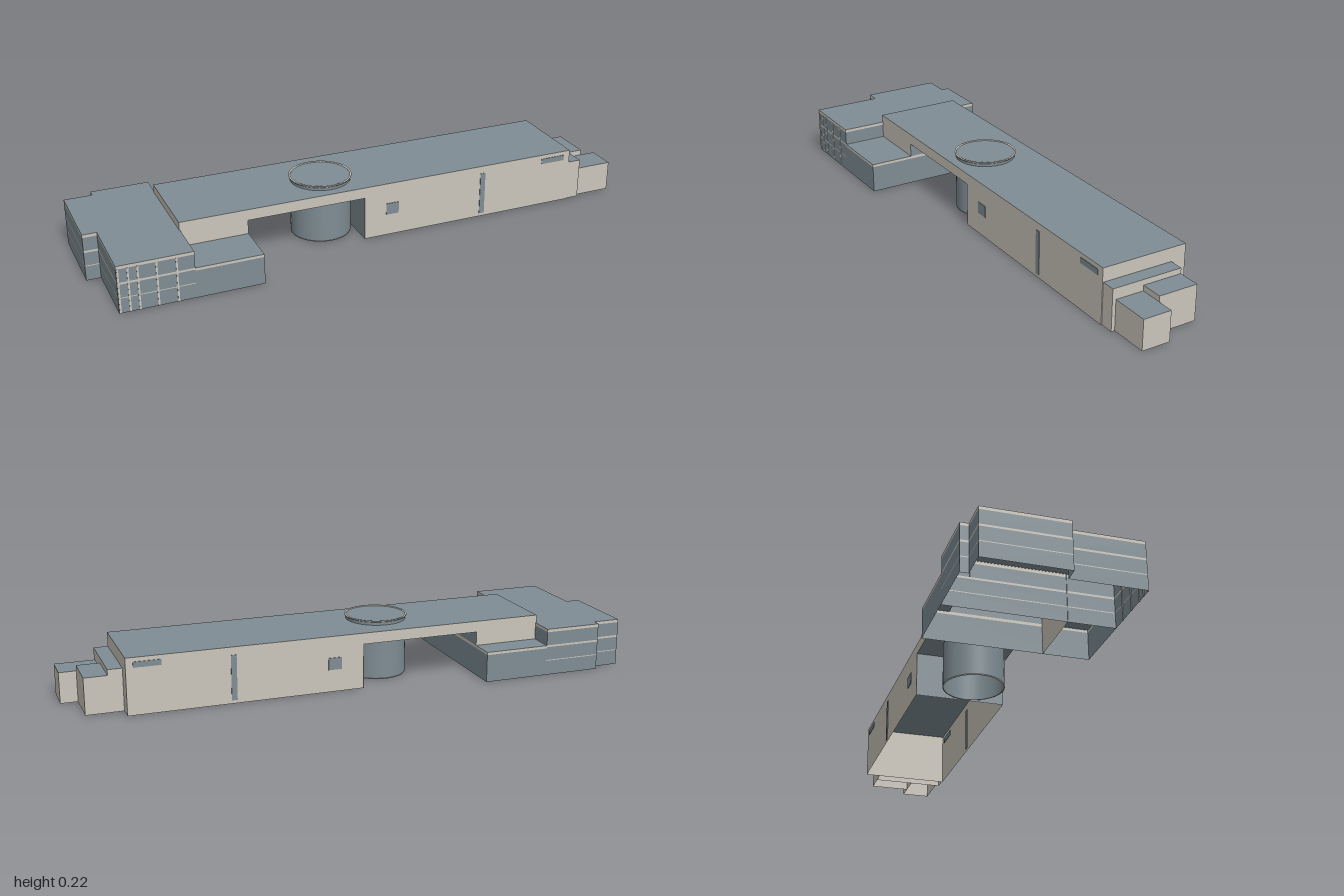
import * as THREE from 'three';

const DS = THREE.DoubleSide;
const stone = new THREE.MeshStandardMaterial({ color: 0xcac5bb, side: DS });
const slate = new THREE.MeshStandardMaterial({ color: 0x7f8d94, side: DS });
stone.name = 'pale stone';
slate.name = 'blue grey glass';

const rect = (x0, x1, z0, z1) => [[x0, z1], [x1, z1], [x1, z0], [x0, z0]];

// Vertical walls along a footprint [x, z], counter-clockwise seen from above
function walls(pts, y0, y1, closed = true) {
  const pos = [];
  const n = closed ? pts.length : pts.length - 1;
  for (let i = 0; i < n; i++) {
    const [ax, az] = pts[i];
    const [bx, bz] = pts[(i + 1) % pts.length];
    pos.push(ax, y0, az, bx, y0, bz, bx, y1, bz, ax, y0, az, bx, y1, bz, ax, y1, az);
  }
  const g = new THREE.BufferGeometry();
  g.setAttribute('position', new THREE.Float32BufferAttribute(pos, 3));
  g.computeVertexNormals();
  return g;
}

// Flat slab surface over a footprint
function deck(pts, y) {
  const shape = new THREE.Shape(pts.map(([x, z]) => new THREE.Vector2(x, -z)));
  return new THREE.ShapeGeometry(shape).rotateX(-Math.PI / 2).translate(0, y, 0);
}

export function createModel() {
  const model = new THREE.Group();
  model.name = 'building';

  const add = (parent, name, geo, mat) => {
    const m = new THREE.Mesh(geo, mat);
    m.name = name;
    parent.add(m);
    return m;
  };

  // Hollow volume: storeys are [top height, material] from the ground up, then a roof
  const volume = (name, pts, storeys, base = 0, roofY = null) => {
    const g = new THREE.Group();
    g.name = name;
    model.add(g);
    let y = base;
    for (const [top, mat] of storeys) {
      add(g, mat === stone ? 'stoneWall' : 'glassWall', walls(pts, y, top), mat);
      y = top;
    }
    add(g, 'roof', deck(pts, roofY ?? y), slate);
    return g;
  };
  const plate = (parent, name, x0, x1, y0, y1, z, t, mat) => add(parent, name,
    new THREE.BoxGeometry(x1 - x0, y1 - y0, t).translate((x0 + x1) / 2, (y0 + y1) / 2, z), mat);

  const ZB = -0.197, ZF = 0.123;

  // Main hall with a glazed end towards the passage
  const hall = new THREE.Group();
  hall.name = 'mainHall';
  model.add(hall);
  add(hall, 'stoneWalls', walls([[-0.022, ZF], [0.81, ZF], [0.81, ZB], [-0.022, ZB]], 0, 0.2, false), stone);
  add(hall, 'innerEndWall', walls([[-0.02, ZB], [-0.02, ZF]], 0, 0.2, false), stone);
  add(hall, 'glazedEndWall', walls([[-0.023, ZB], [-0.023, ZF]], 0, 0.16, false), slate);
  add(hall, 'roof', deck(rect(-0.022, 0.81, ZB, ZF), 0.2), slate);
  for (const z of [ZB, ZF]) {
    plate(hall, 'squareWindow', 0.06, 0.108, 0.08, 0.123, z, 0.004, slate);
    plate(hall, 'tallWindow', 0.435, 0.455, 0.012, 0.172, z, 0.004, slate);
    plate(hall, 'slotWindow', 0.69, 0.785, 0.165, 0.185, z, 0.004, slate);
  }

  // Raised bridge over the passage
  const span = rect(-0.455, -0.022, ZB, ZF);
  const bridge = volume('bridge', span, [[0.2, stone]], 0.16);
  add(bridge, 'soffit', deck(span, 0.16), slate);

  // Round tower through the bridge, with thin rims
  const tower = new THREE.Group();
  tower.name = 'roundTower';
  tower.position.set(-0.135, 0, -0.02);
  model.add(tower);
  add(tower, 'drum', new THREE.CylinderGeometry(0.108, 0.108, 0.212, 48, 1, true).translate(0, 0.106, 0), slate);
  add(tower, 'drumRoof', new THREE.CircleGeometry(0.109, 48).rotateX(-Math.PI / 2).translate(0, 0.213, 0), slate);
  const rim = [[0.106, 0], [0.112, 0], [0.112, 0.004], [0.106, 0.004], [0.106, 0]]
    .map(([r, y]) => new THREE.Vector2(r, y));
  add(tower, 'topRim', new THREE.LatheGeometry(rim, 48).translate(0, 0.212, 0), stone);
  const foot = [[0.105, 0], [0.1085, 0], [0.1085, 0.003]].map(([r, y]) => new THREE.Vector2(r, y));
  add(tower, 'footRim', new THREE.LatheGeometry(foot, 48), stone);

  // Stone link between the bridge and the wing
  const link = new THREE.Group();
  link.name = 'link';
  model.add(link);
  for (const z of [ZB, ZF]) {
    add(link, 'sideWall', walls([[-0.695, z], [-0.455, z]], z > 0 ? 0 : 0.11, 0.2, false), stone);
  }
  add(link, 'gableWall', walls([[-0.695, ZB], [-0.695, ZF]], 0.17, 0.2, false), stone);
  add(link, 'glazedEnd', walls([[-0.455, ZF], [-0.455, ZB]], 0.11, 0.16, false), slate);
  add(link, 'roof', deck(rect(-0.695, -0.455, ZB, ZF), 0.2), slate);

  // Low annex on both sides of the link
  const annex = new THREE.Group();
  annex.name = 'lowAnnex';
  model.add(annex);
  const annexLine = [[-0.692, 0.285], [-0.455, 0.285], [-0.455, -0.288], [-0.692, -0.288]];
  add(annex, 'glassWall', walls(annexLine, 0, 0.1, false), slate);
  add(annex, 'stoneCoping', walls(annexLine, 0.1, 0.11, false), stone);
  add(annex, 'frontRoof', deck(rect(-0.692, -0.455, ZF, 0.285), 0.11), slate);
  add(annex, 'backRoof', deck(rect(-0.692, -0.455, -0.288, ZB), 0.11), slate);

  // Stepped glass wing with stone floor lines and coping
  const wing = volume('glassWing', [
    [-0.95, 0.03], [-0.95, 0.285], [-0.692, 0.285], [-0.692, -0.288],
    [-0.9, -0.288], [-0.9, -0.26], [-1, -0.26], [-1, 0.03],
  ], [[0.053, slate], [0.056, stone], [0.104, slate], [0.111, stone], [0.16, slate], [0.171, stone]]);
  for (const x of [-0.945, -0.912, -0.88, -0.818, -0.752]) {
    plate(wing, 'mullion', x - 0.003, x + 0.003, 0, 0.16, 0.285, 0.003, stone);
  }

  // Stepped end rooms
  volume('endRoomTall', rect(0.81, 0.86, -0.143, 0.12), [[0.15, stone]]);
  volume('endRoomBack', rect(0.86, 0.94, -0.143, 0.003), [[0.13, stone]]);
  volume('endRoomFront', rect(0.86, 1, 0.003, 0.107), [[0.11, stone]]);

  return model;
}
